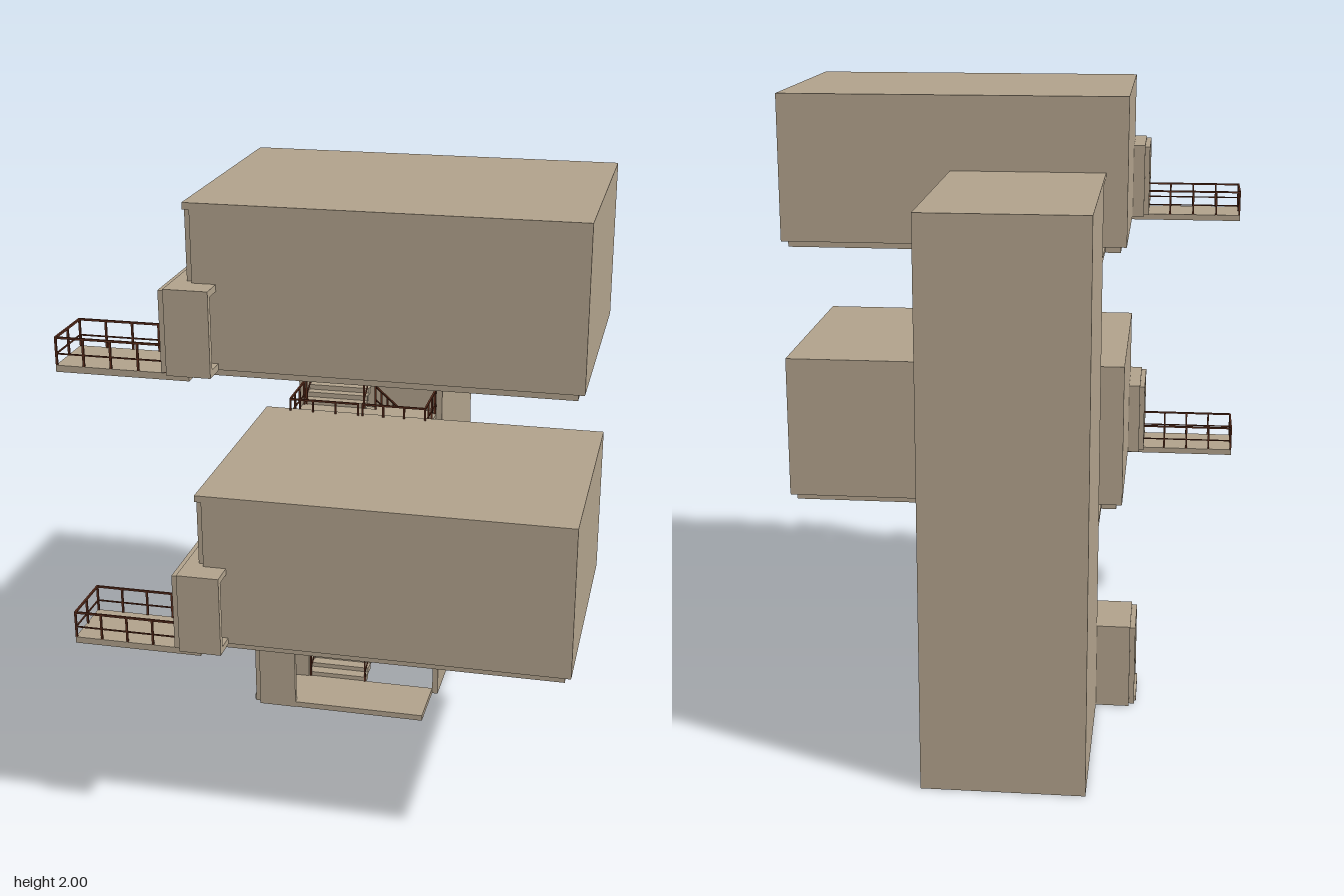
import * as THREE from 'three';

const wallMat = new THREE.MeshStandardMaterial({ color: 0xb0a18b });
wallMat.name = 'tan concrete';
const railMat = new THREE.MeshStandardMaterial({ color: 0x5a2d1c });
railMat.name = 'rust brown metal';

// Box given by its limits on each axis
function slab(parent, name, x0, x1, y0, y1, z0, z1, mat = wallMat) {
  const m = new THREE.Mesh(new THREE.BoxGeometry(x1 - x0, y1 - y0, z1 - z0), mat);
  m.position.set((x0 + x1) / 2, (y0 + y1) / 2, (z0 + z1) / 2);
  m.name = name;
  parent.add(m);
  return m;
}

// Square bar between two points
function bar(parent, name, a, b, t = 0.006) {
  const p = new THREE.Vector3(...a), q = new THREE.Vector3(...b);
  const m = new THREE.Mesh(new THREE.BoxGeometry(t, t, p.distanceTo(q)), railMat);
  m.position.copy(p).add(q).multiplyScalar(0.5);
  if (Math.abs(q.x - p.x) + Math.abs(q.z - p.z) < 1e-6) m.rotation.x = Math.PI / 2;
  else m.lookAt(q);
  m.name = name;
  parent.add(m);
}

// Railing along a straight line, level or sloped
function railing(parent, a, b, bays, h = 0.085) {
  const g = new THREE.Group();
  g.name = 'railing';
  const up = (p, d) => [p[0], p[1] + d, p[2]];
  bar(g, 'topRail', up(a, h - 0.003), up(b, h - 0.003));
  bar(g, 'midRail', up(a, h * 0.4), up(b, h * 0.4), 0.004);
  for (let i = 0; i <= bays; i++) {
    const p = a.map((v, k) => v + (b[k] - v) * i / bays);
    bar(g, 'post', p, up(p, h));
  }
  parent.add(g);
}

// Rectangular wall in the plane (u, y) with one opening, built from strips
function wallWithDoor(add, u0, u1, y0, y1, d0, d1, top) {
  add(u0, d0, y0, y1);
  add(d1, u1, y0, y1);
  add(d0, d1, top, y1);
}

// Rectangular tube running along x
function frame(parent, name, x0, x1, y0, y1, z0, z1, t) {
  const g = new THREE.Group();
  g.name = name;
  slab(g, 'sill', x0, x1, y0, y0 + t, z0, z1);
  slab(g, 'lintel', x0, x1, y1 - t, y1, z0, z1);
  slab(g, 'jamb', x0, x1, y0 + t, y1 - t, z0, z0 + t);
  slab(g, 'jamb', x0, x1, y0 + t, y1 - t, z1 - t, z1);
  parent.add(g);
}

// Deep doorway with a slightly smaller outer lip
function portal(parent, name, y0, y1, z0, z1) {
  const g = new THREE.Group();
  g.name = name;
  frame(g, 'portalBody', -0.415, -0.285, y0, y1, z0, z1, 0.02);
  frame(g, 'portalLip', -0.432, -0.415, y0 + 0.006, y1 - 0.006, z0 + 0.008, z1 - 0.008, 0.014);
  parent.add(g);
}

// One storey: floor, shell, doorway and balcony; y is the underside
function room(y) {
  const g = new THREE.Group();
  g.name = 'room';
  const f = y + 0.025, top = y + 0.5, c = top - 0.02;
  slab(g, 'floorSlab', -0.355, 0.735, y, f, -0.015, 0.74);
  slab(g, 'floorEdge', -0.375, 0.755, f - 0.004, f + 0.004, -0.035, 0.755).scale.set(0.998, 1, 0.998);
  slab(g, 'roof', -0.375, 0.755, c, top, -0.035, 0.755);
  slab(g, 'frontWall', -0.355, 0.755, f, c, 0.735, 0.755);
  slab(g, 'rightEndWall', 0.735, 0.755, f, c, -0.015, 0.735);
  // Back wall open to the stair, side wall open to the portal
  wallWithDoor((a, b, y0, y1) => slab(g, 'backWall', a, b, y0, y1, -0.035, -0.015),
    -0.375, 0.755, f, c, -0.285, 0.175, y + 0.24);
  wallWithDoor((a, b, y0, y1) => slab(g, 'sideWall', -0.375, -0.355, y0, y1, a, b),
    -0.015, 0.735, f, c, 0.58, 0.73, y + 0.25);
  slab(g, 'walkway', -0.305, 0.175, y + 0.004, y + 0.02, -0.2, -0.015);
  portal(g, 'roomPortal', y + 0.02, y + 0.272, 0.56, 0.832);

  // Balcony
  const b = y + 0.02;
  slab(g, 'balconyFloor', -0.755, -0.355, y, b, 0.62, 0.81);
  for (const z of [0.623, 0.807]) railing(g, [-0.752, b, z], [-0.425, b, z], 4);
  railing(g, [-0.752, b, 0.623], [-0.752, b, 0.807], 2);
  return g;
}

// Straight flight from (ya, za) up to (yb, zb), with rails on both sides
function flight(parent, x0, x1, ya, za, yb, zb, n) {
  const g = new THREE.Group();
  g.name = 'stairFlight';
  const rise = (yb - ya) / n, run = (zb - za) / n;
  for (let i = 0; i < n; i++) {
    const z0 = za + run * i, z1 = z0 + run, y1 = ya + rise * (i + 1);
    slab(g, 'step', x0, x1, y1 - rise * 1.35, y1, Math.min(z0, z1), Math.max(z0, z1));
  }
  for (const x of [x0 + 0.004, x1 - 0.004]) railing(g, [x, ya, za], [x, yb, zb], 4);
  parent.add(g);
}

function stairTower() {
  const g = new THREE.Group();
  g.name = 'stairTower';
  // Shell, open at the front and underneath
  slab(g, 'towerSideWall', -0.305, -0.285, 0, 1.745, -0.83, -0.2);
  slab(g, 'towerSideWall', 0.175, 0.195, 0, 1.745, -0.83, -0.2);
  slab(g, 'towerBackWall', -0.285, 0.175, 0, 1.745, -0.83, -0.81);
  slab(g, 'towerRoof', -0.305, 0.195, 1.745, 1.76, -0.83, -0.2);
  slab(g, 'roofLink', -0.305, 0.195, 1.745, 1.76, -0.2, -0.035);

  // Flights turn back at a rear landing between front levels
  const levels = [0.02, 0.335, 0.645, 1.083, 1.52];
  for (let i = 0; i < 4; i++) {
    const a = levels[i], b = levels[i + 1], m = (a + b) / 2, n = i < 2 ? 10 : 13;
    flight(g, -0.283, -0.072, a, -0.2, m, -0.6, n);
    flight(g, -0.04, 0.173, m, -0.6, b, -0.2, n);
    slab(g, 'rearLanding', -0.285, 0.175, m - 0.016, m, -0.81, -0.6);
  }

  // Front landings with railings
  for (const y of [levels[1], levels[3]]) {
    slab(g, 'frontLanding', -0.292, 0.175, y - 0.016, y, -0.2, -0.012);
    railing(g, [-0.287, y, -0.015], [-0.055, y, -0.015], 3);
    railing(g, [-0.04, y, -0.015], [0.171, y, -0.015], 3);
    for (const x of [-0.287, 0.171]) railing(g, [x, y, -0.015], [x, y, -0.197], 3);
  }
  return g;
}

export function createModel() {
  const model = new THREE.Group();
  model.name = 'stackedHouse';
  model.add(stairTower(), room(0.625), room(1.5));

  // Ground entrance
  const entry = new THREE.Group();
  entry.name = 'groundEntrance';
  slab(entry, 'groundFloor', -0.285, 0.175, 0, 0.02, -0.2, 0);
  slab(entry, 'doorStep', -0.438, -0.415, 0.008, 0.026, -0.19, -0.012);
  portal(entry, 'entryPortal', 0, 0.285, -0.215, 0.002);
  model.add(entry);
  return model;
}
